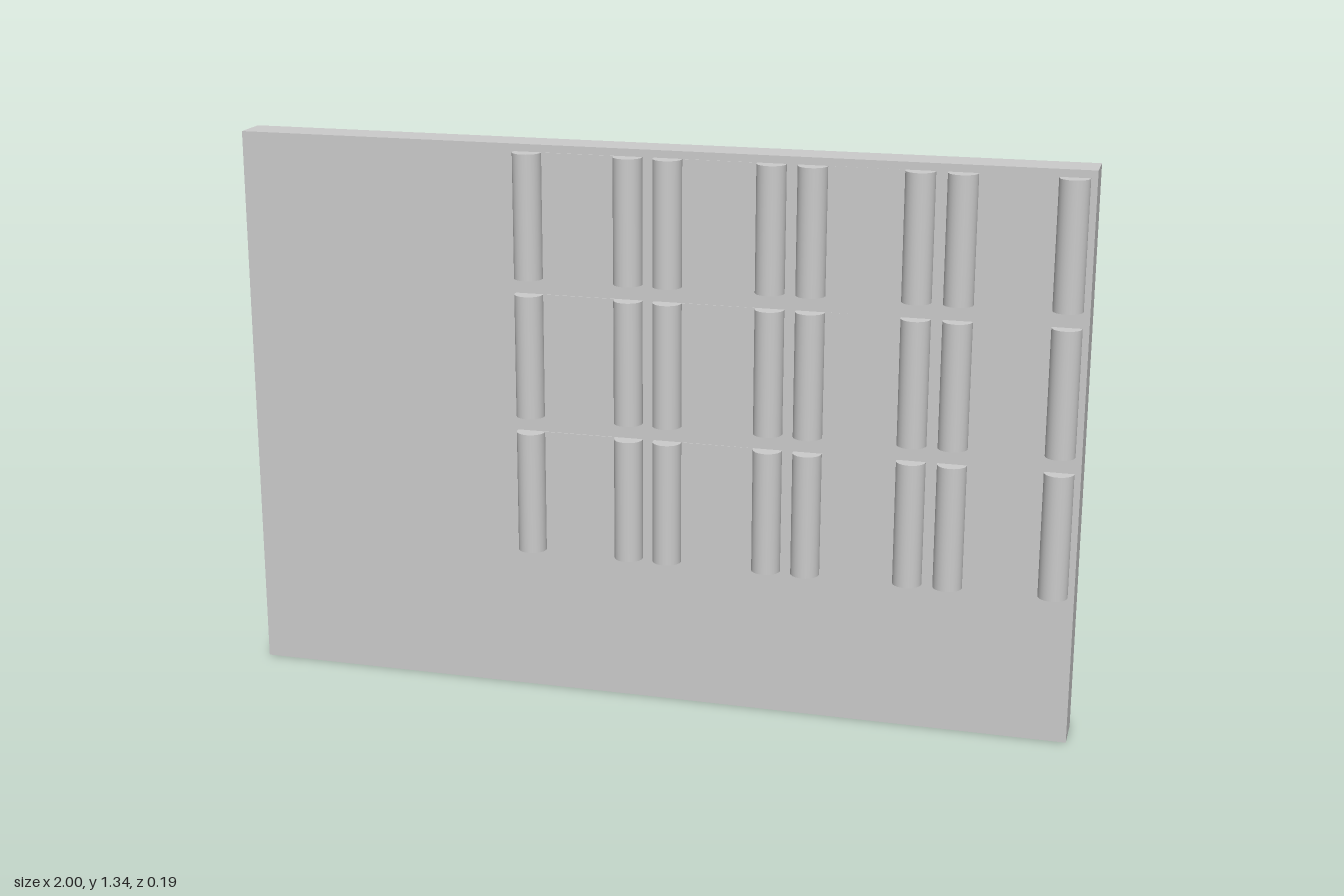
import * as THREE from 'three';

const material = new THREE.MeshStandardMaterial({ color: 0xcccccc });

function part(name, geometry, parent, x = 0, y = 0, z = 0) {
  const mesh = new THREE.Mesh(geometry, material);
  mesh.name = name;
  mesh.position.set(x, y, z);
  parent.add(mesh);
  return mesh;
}

function seeded(seed) {
  return () => (seed = (seed * 16807) % 2147483647) / 2147483647;
}

// Wall slab whose front face leans out slightly toward +x and the bottom
function slabGeometry() {
  const geo = new THREE.BoxGeometry(2, 1.335, 0.09, 8, 1, 1);
  geo.translate(0, 0.6675, 0.008);
  const p = geo.attributes.position;
  for (let i = 0; i < p.count; i++) {
    if (p.getZ(i) < 0) continue;
    const lean = Math.max(0, p.getX(i)) * (0.008 - 0.003 * p.getY(i));
    p.setZ(i, p.getZ(i) + lean);
  }
  geo.computeVertexNormals();
  return geo;
}

// Round pole segment, bowed away from the wall, with domed ends
function poleGeometry(length, radius, bow) {
  const points = [];
  const half = length / 2;
  for (let i = 0; i <= 4; i++) {
    const a = (i / 4) * Math.PI / 2;
    points.push(new THREE.Vector2(radius * Math.sin(a), -half + radius * (1 - Math.cos(a))));
  }
  for (let i = 1; i < 10; i++) {
    points.push(new THREE.Vector2(radius, -half + radius + (i / 10) * (length - 2 * radius)));
  }
  for (let i = 4; i >= 0; i--) {
    const a = (i / 4) * Math.PI / 2;
    points.push(new THREE.Vector2(radius * Math.sin(a), half - radius * (1 - Math.cos(a))));
  }
  const geo = new THREE.LatheGeometry(points, 16);
  geo.rotateZ(-Math.PI / 2);
  const p = geo.attributes.position;
  for (let i = 0; i < p.count; i++) {
    const t = p.getX(i) / half;
    p.setZ(i, p.getZ(i) - bow * (1 - t * t));
  }
  geo.computeVertexNormals();
  return geo;
}

// Thin uneven stick with a slight wander along its height
function stickGeometry(height, radius, random) {
  const rows = 28;
  const geo = new THREE.CylinderGeometry(radius, radius, height, 8, rows);
  const swell = [], driftX = [], driftZ = [];
  for (let i = 0; i <= rows; i++) {
    swell.push(0.8 + 0.4 * random());
    driftX.push((random() - 0.5) * 0.003);
    driftZ.push(-0.004 * Math.sin((i / rows) * Math.PI) + (random() - 0.5) * 0.002);
  }
  const p = geo.attributes.position;
  for (let i = 0; i < p.count; i++) {
    const r = Math.round((p.getY(i) / height + 0.5) * rows);
    p.setX(i, p.getX(i) * swell[r] + driftX[r]);
    p.setZ(i, p.getZ(i) * swell[r] + driftZ[r]);
  }
  geo.computeVertexNormals();
  return geo;
}

export function createModel() {
  const model = new THREE.Group();
  model.name = 'wallPanel';
  part('wallSlab', slabGeometry(), model);

  // Three rows of four bays: two half-sunk columns and a thin infill each
  const columns = new THREE.Group();
  columns.name = 'frontColumns';
  model.add(columns);
  const column = new THREE.CylinderGeometry(0.034, 0.034, 0.295, 24);
  const infill = new THREE.BoxGeometry(0.25, 0.295, 0.02);
  for (const y of [0.503, 0.837, 1.17]) {
    for (let bay = 0; bay < 4; bay++) {
      const x = -0.289 + bay * 0.3335;
      part('column', column, columns, x, y, 0.06);
      part('column', column, columns, x + 0.24, y, 0.06);
      part('infillPanel', infill, columns, x + 0.12, y, 0.0455);
    }
  }

  // Lattice on the back: two rows of bowed poles tied in the middle
  const lattice = new THREE.Group();
  lattice.name = 'backLattice';
  model.add(lattice);
  const pitch = 0.334;
  const pole = poleGeometry(0.345, 0.02, 0.009);
  const tie = new THREE.TorusGeometry(0.0195, 0.0025, 6, 20);
  tie.rotateY(Math.PI / 2);
  for (const [y, z] of [[0.09, -0.066], [1.245, -0.063]]) {
    for (let i = -2; i <= 2; i++) {
      part('crossPole', pole, lattice, i * pitch, y, z);
      for (const side of [-1, 1]) {
        part('poleTie', tie, lattice, i * pitch + side * 0.013, y, z - 0.009);
      }
    }
  }

  // Upright sticks with bark strips clinging to them
  const random = seeded(4271);
  const bark = new THREE.CylinderGeometry(0.002, 0.004, 0.12, 5);
  for (let i = 0; i < 6; i++) {
    const x = (i - 2.5) * pitch;
    part('uprightStick', stickGeometry(1.155, 0.009, random), lattice, x, 0.6675, -0.062);
    for (let k = 0; k < 8; k++) {
      const angle = random() * Math.PI * 2;
      const strip = part('barkStrip', bark, lattice, x + 0.008 * Math.cos(angle),
        0.2 + k * 0.12 + random() * 0.08, -0.064 + 0.008 * Math.sin(angle));
      strip.rotation.z = (random() - 0.5) * 0.08;
      strip.scale.y = 0.5 + random();
    }
  }
  return model;
}
